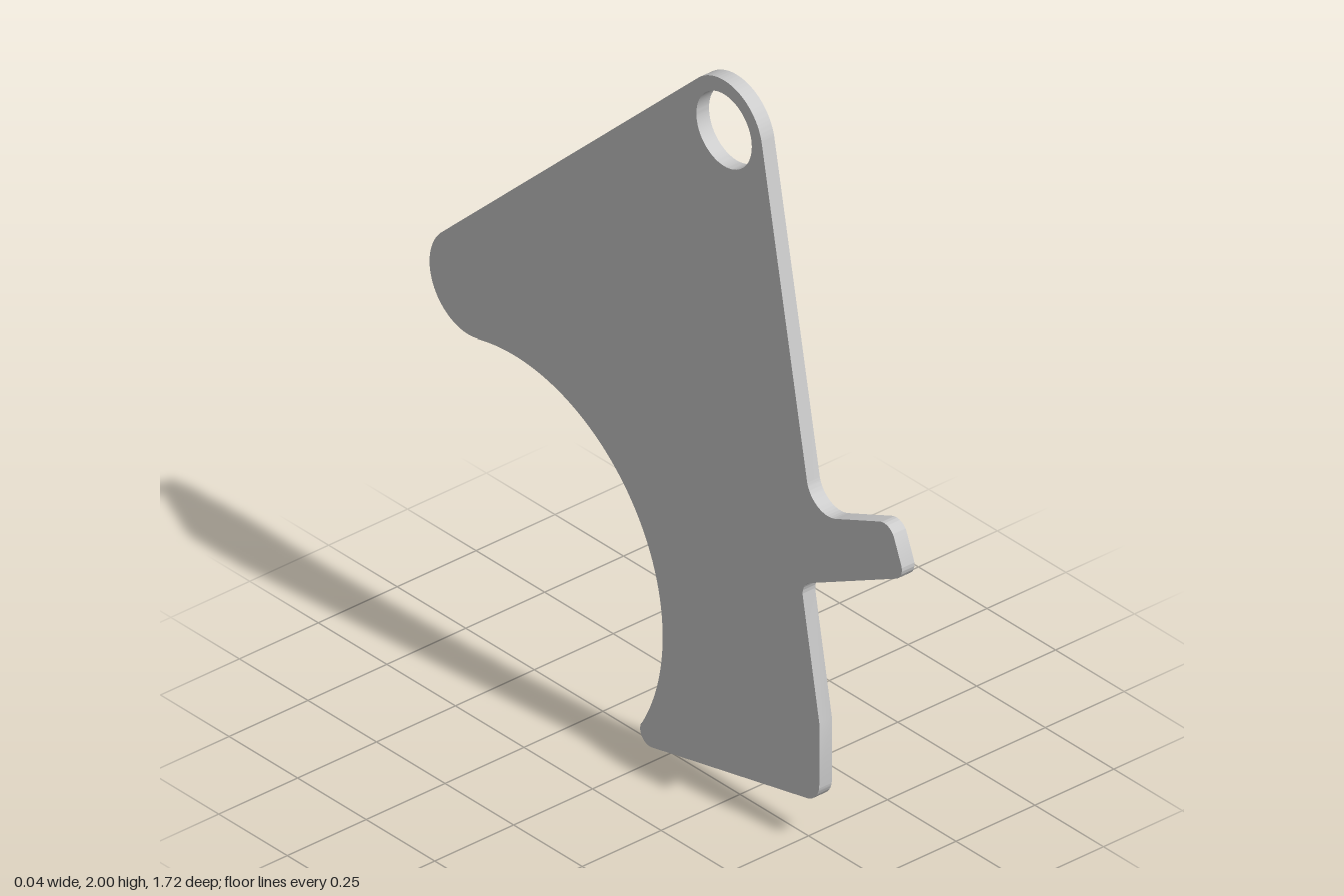
import * as THREE from 'three';
import { toCreasedNormals } from 'three/addons/utils/BufferGeometryUtils.js';

const THICKNESS = 0.04;
const rad = THREE.MathUtils.degToRad;

// Adds a circular arc given in degrees; lines join it to whatever came before
function arc(shape, x, y, r, from, to, clockwise = false) {
  shape.absarc(x, y, r, rad(from), rad(to), clockwise);
}

// Rounds the corner b between a and c with a tangent arc
function fillet(shape, a, b, c, r) {
  const B = new THREE.Vector2(...b);
  const d1 = new THREE.Vector2(...a).sub(B).normalize();
  const d2 = new THREE.Vector2(...c).sub(B).normalize();
  const half = Math.acos(d1.dot(d2)) / 2;
  const centre = d1.clone().add(d2).normalize().multiplyScalar(r / Math.sin(half)).add(B);
  const t = r / Math.tan(half);
  const p = d1.clone().multiplyScalar(t).add(B).sub(centre);
  const q = d2.clone().multiplyScalar(t).add(B).sub(centre);
  shape.absarc(centre.x, centre.y, r, p.angle(), q.angle(), p.cross(q) < 0);
}

export function createModel() {
  const group = new THREE.Group();
  group.name = 'leverPlate';

  // Outline in (-z, y), counter-clockwise from the eyelet
  const outline = new THREE.Shape();
  arc(outline, -0.215, 1.86, 0.14, 47, 169.3);

  // Side arm and heel: [x, y, corner radius]
  const corners = [
    [-0.353, 1.886, 0],
    [-0.535, 0.92, 0.077],
    [-0.82, 1.04, 0.04],
    [-0.873, 0.907, 0.037],
    [-0.496, 0.716, 0.046],
    [-0.562, 0.355, 0],
    [-0.562, 0.132, 0.058],
    [0.049, 0.001, 0],
  ];
  for (let i = 1; i < corners.length - 1; i++) {
    const [x, y, r] = corners[i];
    if (r) fillet(outline, corners[i - 1].slice(0, 2), [x, y], corners[i + 1].slice(0, 2), r);
    else outline.lineTo(x, y);
  }

  // Toe, large concave cut-out, rounded nose
  arc(outline, 0.056, 0.035, 0.035, 258, 390.8);
  arc(outline, 0.549, 0.329, 0.54, 210.8, 75.6, true);
  arc(outline, 0.719, 0.99, 0.14, 255.6, 407);
  outline.closePath();

  // Pivot hole
  const hole = new THREE.Path();
  hole.absarc(-0.215, 1.86, 0.101, 0, Math.PI * 2, true);
  outline.holes.push(hole);

  // Extrude, centre the thickness and turn the plate into the y-z plane
  const geometry = new THREE.ExtrudeGeometry(outline, {
    depth: THICKNESS, bevelEnabled: false, curveSegments: 40,
  });
  geometry.translate(0, 0, -THICKNESS / 2);
  geometry.rotateY(Math.PI / 2);

  const plate = new THREE.Mesh(
    toCreasedNormals(geometry, 0.5),
    new THREE.MeshStandardMaterial({ color: 0xcccccc }),
  );
  plate.name = 'plate';
  group.add(plate);
  return group;
}
